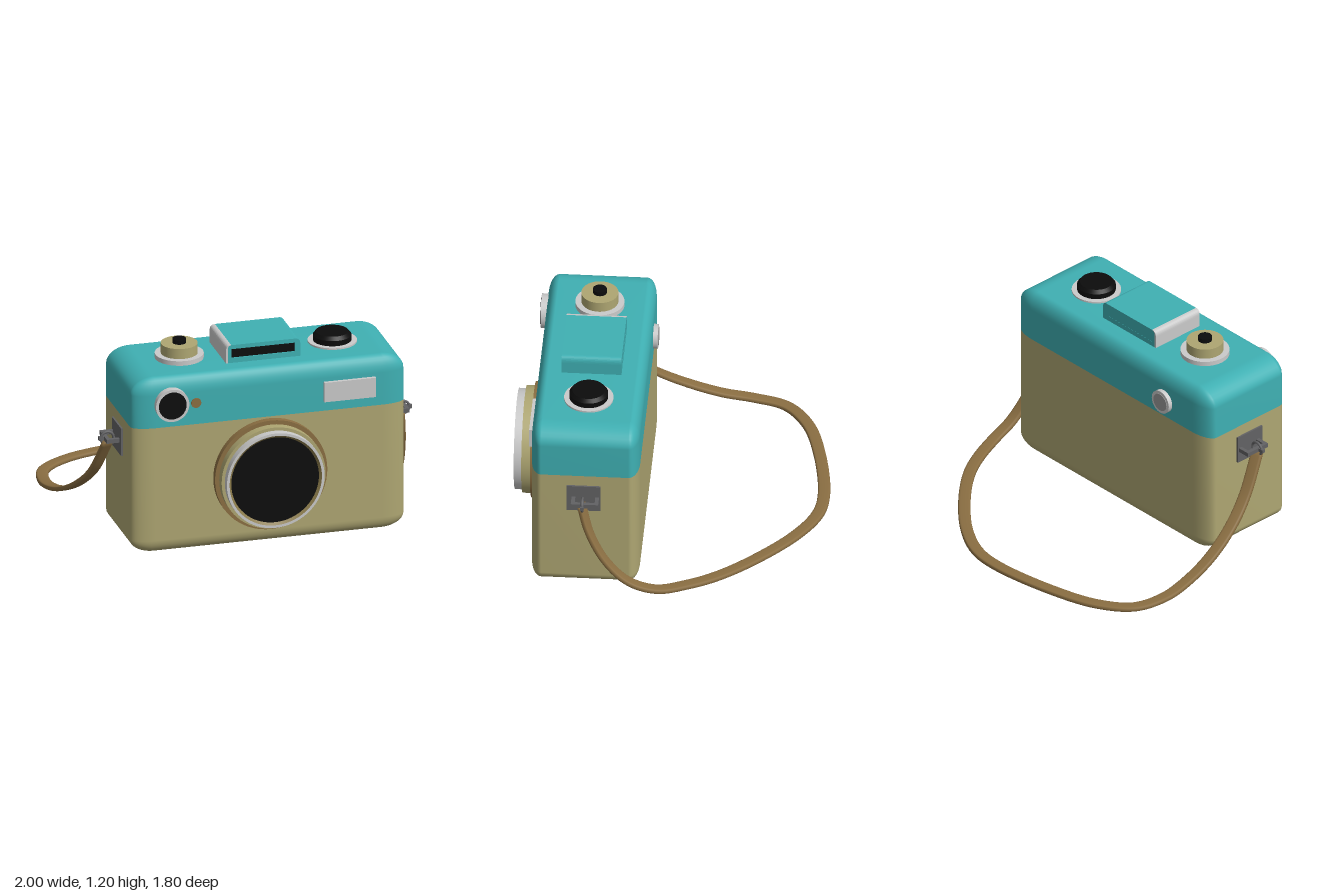
import * as THREE from 'three';

const material = (name, color) => {
  const m = new THREE.MeshStandardMaterial({ color });
  m.name = name;
  return m;
};

// Skin a list of rings; each runs counterclockwise seen from the far end
function loft(rings, capStart, capEnd) {
  const n = rings[0].length, pos = [], index = [];
  rings.forEach(r => r.forEach(p => pos.push(p.x, p.y, p.z)));
  for (let i = 0; i < rings.length - 1; i++) {
    for (let j = 0; j < n; j++) {
      const k = (j + 1) % n, a = i * n + j, b = i * n + k;
      index.push(a, b, a + n, b, b + n, a + n);
    }
  }
  const cap = (first, ring, flip) => {
    const c = new THREE.Vector3();
    ring.forEach(p => c.addScaledVector(p, 1 / n));
    const ci = pos.length / 3;
    pos.push(c.x, c.y, c.z);
    for (let j = 0; j < n; j++) {
      const a = first + j, b = first + (j + 1) % n;
      if (flip) index.push(ci, b, a); else index.push(ci, a, b);
    }
  };
  if (capStart) cap(0, rings[0], true);
  if (capEnd) cap((rings.length - 1) * n, rings[rings.length - 1], false);
  const g = new THREE.BufferGeometry();
  g.setAttribute('position', new THREE.Float32BufferAttribute(pos, 3));
  g.setIndex(index);
  g.computeVertexNormals();
  return g;
}

// Horizontal rounded-rectangle section of the body; k shrinks the corner radii
const CX = 0.06, CZ = 0.4525;
function bodyRing(y, k) {
  const W = 0.82, D = 0.3125, rx = 0.14, rz = 0.06, ring = [];
  for (let q = 0; q < 4; q++) {
    const sx = q === 0 || q === 3 ? 1 : -1, sz = q < 2 ? -1 : 1;
    for (let s = 0; s <= 8; s++) {
      const b = (q + s / 8) * Math.PI / 2;
      ring.push(new THREE.Vector3(
        CX + sx * (W - rx) + rx * k * Math.cos(b), y,
        CZ + sz * (D - rz) - rz * k * Math.sin(b)));
    }
  }
  return ring;
}

export function createModel() {
  const model = new THREE.Group();
  model.name = 'camera';
  const teal = material('teal', 0x3fb0b3);
  const olive = material('olive', 0xaea672);
  const brown = material('brown leather', 0x8a6e42);
  const silver = material('silver', 0xcacaca);
  const black = material('black', 0x0c0c0c);
  const iron = material('dark grey metal', 0x626264);
  const glass = material('grey glass', 0x9a9a9a);
  const bezelMat = material('bezel brown', 0x8a7a4a);
  bezelMat.side = THREE.DoubleSide;

  const add = (name, geo, mat, x = 0, y = 0, z = 0, parent = model) => {
    const m = new THREE.Mesh(geo, mat);
    m.name = name;
    m.position.set(x, y, z);
    parent.add(m);
    return m;
  };
  // Upright disc from y0 to y1, and forward-facing disc from z0 to z1
  const discY = (name, r, x, z, y0, y1, mat, rTop = r) =>
    add(name, new THREE.CylinderGeometry(rTop, r, y1 - y0, 48), mat, x, (y0 + y1) / 2, z);
  const discZ = (name, r, x, y, z0, z1, mat, open = false) =>
    add(name, new THREE.CylinderGeometry(r, r, z1 - z0, 64, 1, open).rotateX(Math.PI / 2),
      mat, x, y, (z0 + z1) / 2);

  // Two-tone body
  const lower = [], upper = [bodyRing(0.78, 1)];
  for (let i = 0; i <= 8; i++) {
    const a = i / 8 * Math.PI / 2;
    lower.push(bodyRing(0.08 - 0.08 * Math.cos(a), Math.sin(a)));
    upper.push(bodyRing(0.98 + 0.1 * Math.sin(a), Math.cos(a)));
  }
  lower.push(bodyRing(0.78, 1));
  add('lowerBody', loft(lower, true, false), olive);
  add('topCover', loft(upper, false, true), teal);

  // Lens
  const LY = 0.432;
  discZ('lensBaseRing', 0.337, CX, LY, 0.74, 0.803, brown);
  discZ('lensBarrel', 0.312, CX, LY, 0.8, 0.855, olive);
  discZ('lensRim', 0.293, CX, LY, 0.855, 0.9, silver, true);
  add('lensRimFace', new THREE.RingGeometry(0.277, 0.293, 64), silver, CX, LY, 0.9);
  add('lensBezel', new THREE.LatheGeometry(
    [new THREE.Vector2(0.277, 0.9), new THREE.Vector2(0.262, 0.885)], 64).rotateX(Math.PI / 2),
    bezelMat, CX, LY, 0);
  discZ('lensGlass', 0.263, CX, LY, 0.86, 0.886, black);

  // Front windows and back eyepiece
  discZ('viewfinderRim', 0.1, -0.53, 0.922, 0.75, 0.8, silver);
  discZ('viewfinderGlass', 0.083, -0.53, 0.922, 0.796, 0.803, black);
  discZ('sensorDot', 0.03, -0.38, 0.912, 0.762, 0.77, brown);
  add('flashWindow', new THREE.BoxGeometry(0.31, 0.12, 0.04), silver, 0.54, 0.9, 0.766);
  discZ('eyepieceRim', 0.072, -0.378, 0.883, 0.113, 0.16, silver);
  discZ('eyepieceGlass', 0.054, -0.378, 0.883, 0.11, 0.115, glass);

  // Top dials
  discY('rewindBase', 0.142, -0.393, 0.4525, 1.06, 1.108, silver);
  discY('rewindKnob', 0.107, -0.393, 0.4525, 1.1, 1.17, olive);
  discY('shutterButton', 0.04, -0.393, 0.4525, 1.16, 1.196, black);
  discY('dialBase', 0.143, 0.525, 0.4525, 1.06, 1.09, silver);
  discY('dialLower', 0.112, 0.525, 0.4525, 1.085, 1.122, black);
  discY('dialTop', 0.112, 0.525, 0.4525, 1.122, 1.143, black, 0.095);

  // Raised housing with a front slot and a side plate
  const s = new THREE.Shape();
  s.moveTo(-0.15, 1.06);
  s.lineTo(0.285, 1.06);
  s.lineTo(0.285, 1.15);
  s.quadraticCurveTo(0.285, 1.19, 0.255, 1.19);
  s.lineTo(-0.13, 1.19);
  s.quadraticCurveTo(-0.15, 1.185, -0.15, 1.17);
  s.closePath();
  const slot = new THREE.Path();
  slot.moveTo(-0.13, 1.11);
  slot.lineTo(-0.13, 1.165);
  slot.lineTo(0.252, 1.165);
  slot.lineTo(0.252, 1.11);
  slot.closePath();
  const shoe = (name, shape, mat) => add(name,
    new THREE.ExtrudeGeometry(shape, { depth: 0.347, bevelEnabled: false, curveSegments: 8 }),
    mat, 0, 0, 0.28);
  s.holes.push(slot);
  shoe('finderHousing', s, teal);
  add('finderSlot', new THREE.BoxGeometry(0.382, 0.055, 0.335), black, 0.061, 1.1375, 0.451);
  add('finderBack', new THREE.BoxGeometry(0.386, 0.06, 0.008), teal, 0.061, 1.1375, 0.285);
  const side = new THREE.Shape();
  side.moveTo(-0.162, 1.06);
  side.lineTo(-0.15, 1.06);
  side.lineTo(-0.15, 1.17);
  side.quadraticCurveTo(-0.15, 1.185, -0.13, 1.19);
  side.quadraticCurveTo(-0.162, 1.19, -0.162, 1.155);
  side.closePath();
  shoe('finderSidePlate', side, silver);

  // Strap lugs, mirrored about the body centre
  for (const d of [1, -1]) {
    const lug = new THREE.Group();
    lug.name = d > 0 ? 'leftLug' : 'rightLug';
    lug.position.set(CX, 0.628, 0);
    model.add(lug);
    const bar = (name, w, h, l, x, z) =>
      add(name, new THREE.BoxGeometry(w, h, l), iron, d * x, 0, z, lug);
    bar('lugPlate', 0.02, 0.17, 0.195, 0.821, 0.4575);
    for (const z of [0.378, 0.515]) bar('lugArm', 0.085, 0.025, 0.022, 0.865, z);
    bar('lugBar', 0.022, 0.025, 0.159, 0.897, 0.4465);
    bar('lugPin', 0.05, 0.022, 0.02, 0.915, 0.46);
    add('lugRing', new THREE.TorusGeometry(0.038, 0.008, 10, 28), iron, d * 0.887, -0.002, 0.46, lug);
  }

  // Flat leather strap swept along its path
  const path = new THREE.CatmullRomCurve3([
    [0.92, 0.605, 0.468], [0.94, 0.41, 0.415], [0.955, 0.23, 0.32], [0.96, 0.1, 0.19],
    [0.945, 0.042, 0.03], [0.88, 0.036, -0.14], [0.79, 0.036, -0.3], [0.61, 0.036, -0.51],
    [0.35, 0.036, -0.735], [0.14, 0.036, -0.845], [-0.05, 0.036, -0.868], [-0.45, 0.036, -0.815],
    [-0.74, 0.036, -0.725], [-0.91, 0.036, -0.59], [-0.963, 0.045, -0.4], [-0.96, 0.075, -0.22],
    [-0.944, 0.145, -0.02], [-0.91, 0.25, 0.17], [-0.87, 0.38, 0.32], [-0.825, 0.605, 0.465],
  ].map(p => new THREE.Vector3(...p)), false, 'centripetal');
  const up = new THREE.Vector3(0, 1, 0), rings = [];
  for (let i = 0; i <= 140; i++) {
    const c = path.getPointAt(i / 140), t = path.getTangentAt(i / 140);
    const e1 = t.clone().cross(up).normalize(), e2 = t.clone().cross(e1);
    const ring = [];
    for (let j = 0; j < 16; j++) {
      const a = j / 16 * Math.PI * 2, round = v => Math.sign(v) * Math.sqrt(Math.abs(v));
      ring.push(c.clone().addScaledVector(e1, 0.036 * round(Math.cos(a)))
        .addScaledVector(e2, 0.015 * round(Math.sin(a))));
    }
    rings.push(ring);
  }
  add('strap', loft(rings, true, true), brown);

  return model;
}
